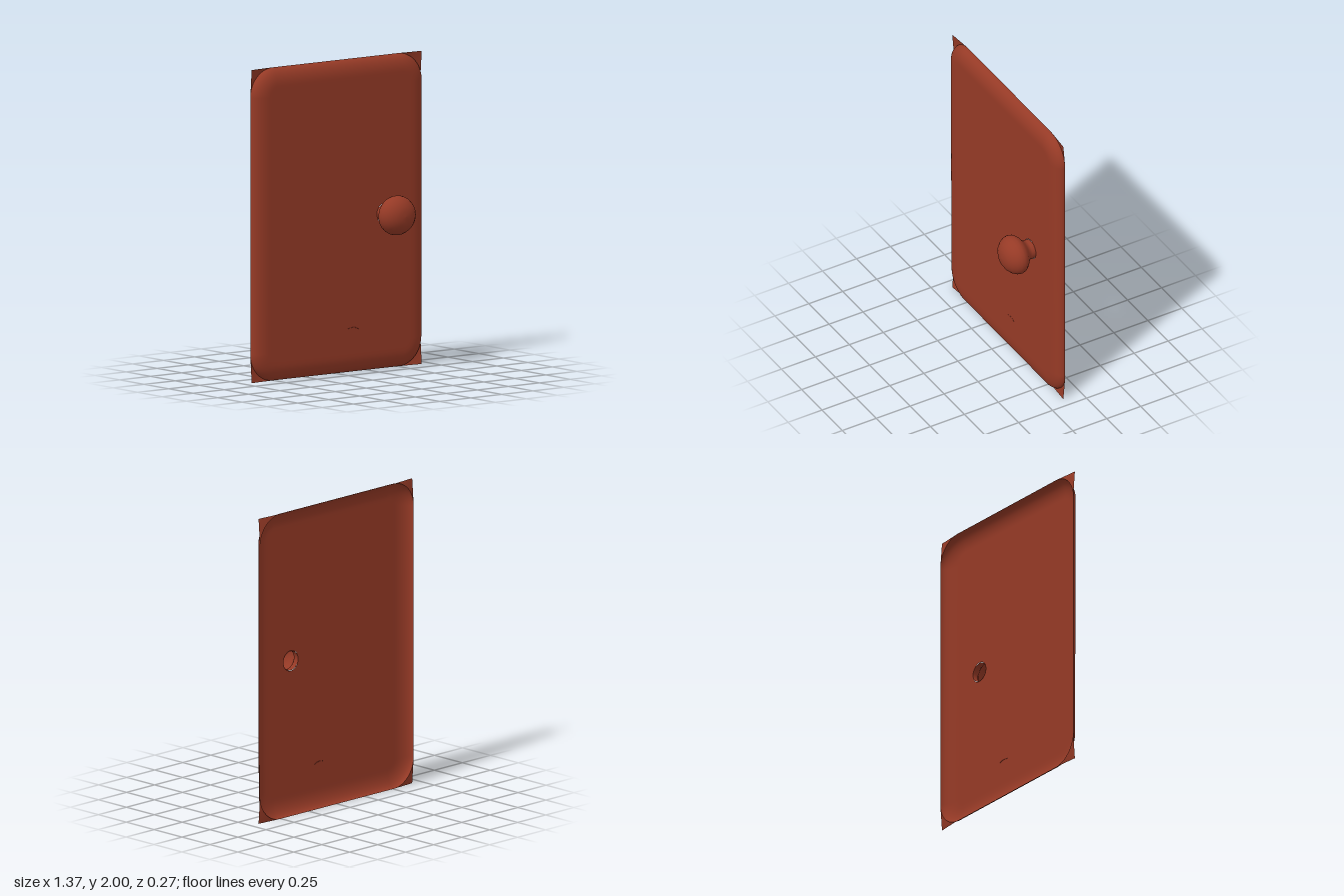
import * as THREE from 'three';

const HALF_W = 0.685, HALF_H = 1, CORNER_R = 0.18, BEVEL = 0.11, ARC = 12;
const KNOB = { x: 0.355, y: 0.997, neck: 0.066 };

// The front face leans back slightly towards the bottom
const faceZ = (y) => -0.068 - 0.012 * (1 - y / 2);

// Counter-clockwise rounded rectangle, moved in from the outer edge
function contour(inset) {
  const pts = [], r = CORNER_R - inset;
  const cx = HALF_W - CORNER_R, cy = HALF_H - CORNER_R;
  [[1, 1], [-1, 1], [-1, -1], [1, -1]].forEach(([sx, sy], q) => {
    for (let i = 0; i <= ARC; i++) {
      const a = (q + i / ARC) * Math.PI / 2;
      pts.push(new THREE.Vector2(sx * cx + r * Math.cos(a), 1 + sy * cy + r * Math.sin(a)));
    }
  });
  return pts;
}

function indexed(pos, idx) {
  const g = new THREE.BufferGeometry();
  g.setAttribute('position', new THREE.Float32BufferAttribute(pos, 3));
  g.setIndex(idx);
  g.computeVertexNormals();
  return g;
}

// Flat front face with the opening behind the knob
function faceGeometry() {
  const shape = new THREE.Shape(contour(BEVEL + 0.02));
  shape.holes.push(new THREE.Path().absarc(KNOB.x, KNOB.y, KNOB.neck, 0, Math.PI * 2, true));
  const g = new THREE.ShapeGeometry(shape, 16);
  const p = g.attributes.position;
  for (let i = 0; i < p.count; i++) p.setZ(i, faceZ(p.getY(i)));
  g.computeVertexNormals();
  return g;
}

// Rim that curves back from the face to the open rear edge
function rimGeometry() {
  const pos = [], idx = [], steps = 9, n = 4 * (ARC + 1);
  for (let j = -1; j <= steps; j++) {
    const a = Math.max(j, 0) / steps * Math.PI / 2;
    const inset = j < 0 ? BEVEL + 0.02 : BEVEL * (1 - Math.sin(a));
    for (const p of contour(inset)) {
      const z = faceZ(p.y);
      pos.push(p.x, p.y, z + (-0.132 - z) * (1 - Math.cos(a)));
    }
  }
  for (let j = 0; j <= steps; j++) {
    for (let i = 0; i < n; i++) {
      const k = (i + 1) % n, a = j * n, b = a + n;
      idx.push(a + i, b + i, a + k, b + i, b + k, a + k);
    }
  }
  return indexed(pos, idx);
}

// Thin leftover flaps that fill the square corners
function cornerGeometry(q) {
  const arc = contour(0).slice(q * (ARC + 1), (q + 1) * (ARC + 1));
  const sx = q === 0 || q === 3 ? 1 : -1, sy = q < 2 ? 1 : -1;
  const pos = [sx * HALF_W, 1 + sy * HALF_H, -0.118], idx = [];
  arc.forEach((p, i) => {
    pos.push(p.x, p.y, -0.132);
    if (i < ARC) idx.push(i + 1, 0, i + 2);
  });
  return indexed(pos, idx);
}

export function createModel() {
  const model = new THREE.Group();
  const paint = new THREE.MeshStandardMaterial({ color: 0x963a26, side: THREE.DoubleSide });
  paint.name = 'rust red';
  const add = (name, geometry) => {
    const mesh = new THREE.Mesh(geometry, paint);
    mesh.name = name;
    model.add(mesh);
    return mesh;
  };

  add('doorFace', faceGeometry());
  add('doorRim', rimGeometry());
  for (let q = 0; q < 4; q++) add('cornerFlap' + (q + 1), cornerGeometry(q));

  // Hollow knob, turned around the z axis
  const profile = [
    [0.066, -0.075], [0.065, -0.05], [0.068, -0.035], [0.085, -0.018], [0.112, 0.002],
    [0.129, 0.022], [0.135, 0.043], [0.131, 0.066], [0.118, 0.09], [0.096, 0.112],
    [0.066, 0.129], [0.034, 0.137], [0, 0.139],
  ].map(([r, z]) => new THREE.Vector2(r, z));
  const knob = add('knob', new THREE.LatheGeometry(profile, 32).rotateX(Math.PI / 2));
  knob.position.set(KNOB.x, KNOB.y, 0);
  knob.scale.y = 0.94;

  // Small crease low on the face
  const crease = new THREE.QuadraticBezierCurve3(
    new THREE.Vector3(0.06, 0.284, faceZ(0.284)),
    new THREE.Vector3(0.11, 0.3, faceZ(0.3)),
    new THREE.Vector3(0.145, 0.277, faceZ(0.277)),
  );
  add('crease', new THREE.TubeGeometry(crease, 12, 0.0015, 6));

  return model;
}
